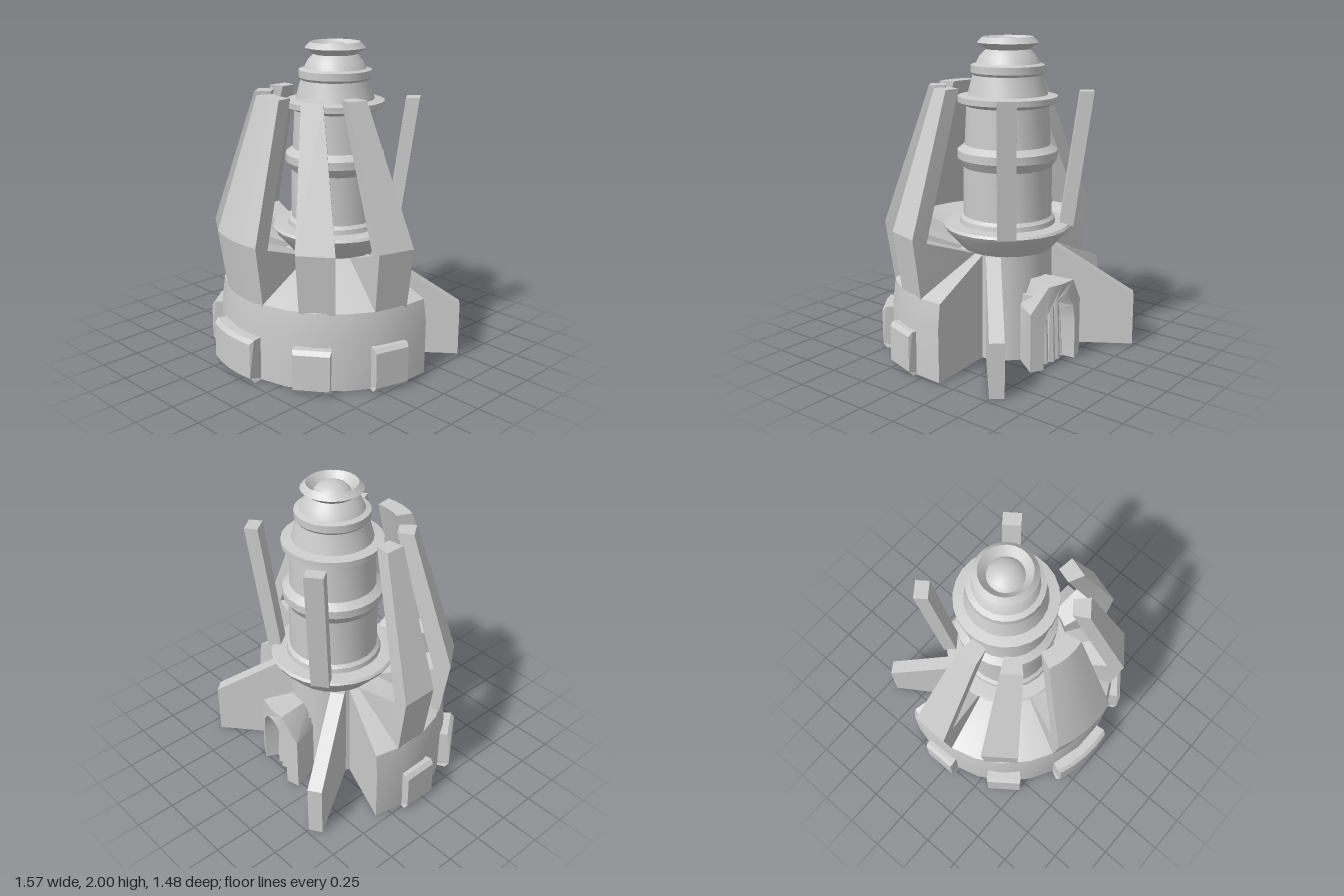
import * as THREE from 'three';
import { toCreasedNormals } from 'three/addons/utils/BufferGeometryUtils.js';

const material = new THREE.MeshStandardMaterial({ color: 0xcccccc });

function addMesh(parent, name, geometry, crease = 0.5) {
  const mesh = new THREE.Mesh(toCreasedNormals(geometry, crease), material);
  mesh.name = name;
  parent.add(mesh);
  return mesh;
}

const toShape = (points) => new THREE.Shape(points.map(([x, y]) => new THREE.Vector2(x, y)));

// Apply a rule to every vertex position
function moveVertices(geometry, rule) {
  const p = geometry.attributes.position;
  for (let i = 0; i < p.count; i++) p.setXYZ(i, ...rule(p.getX(i), p.getY(i), p.getZ(i)));
  geometry.computeVertexNormals();
  return geometry;
}

// Sweep a (radius, height) profile round the y axis, from angle - half to angle + half
function sector(profile, angle, half, steps, forward = () => 0, narrow = () => 1) {
  const geometry = new THREE.ExtrudeGeometry(toShape(profile), { depth: 1, steps, bevelEnabled: false });
  return moveVertices(geometry, (r, y, u) => {
    const a = angle + (1 - 2 * u) * half * narrow(r);
    return [r * Math.sin(a), y, r * Math.cos(a) + forward(y)];
  });
}

// Turned central tower, from the foot to the cup and dome on top
const TOWER = [
  [0, 0], [0.285, 0], [0.285, 0.68], [0.385, 0.79], [0.402, 0.82], [0.39, 0.835], [0.305, 0.84],
  [0.3, 0.87], [0.28, 0.89], [0.28, 1.2], [0.315, 1.255], [0.315, 1.305], [0.27, 1.34], [0.258, 1.58],
  [0.313, 1.605], [0.313, 1.64], [0.25, 1.65], [0.218, 1.77], [0.23, 1.785], [0.23, 1.83], [0.197, 1.84],
  [0.175, 1.885], [0.135, 1.925], [0.19, 1.965], [0.157, 2], [0.11, 1.95], [0.085, 1.978], [0.045, 1.995], [0, 2],
];
const BASE = [[0.2, 0], [0.74, 0], [0.742, 0.34], [0.722, 0.49], [0.28, 0.68], [0.2, 0.68]];
const RIB = [[0.26, 0.45], [0.722, 0.48], [0.775, 0.86], [0.43, 1.7], [0.325, 1.7], [0.67, 0.82], [0.26, 0.67]];
const BLOCK = [[0.68, 0], [0.77, 0], [0.793, 0.03], [0.793, 0.255], [0.77, 0.28], [0.68, 0.28]];

export function createModel() {
  const root = new THREE.Group();
  const building = new THREE.Group();
  building.name = 'building';
  building.rotation.y = -0.143;
  building.position.z = -0.075;
  root.add(building);

  addMesh(building, 'tower', new THREE.LatheGeometry(TOWER.map(([r, y]) => new THREE.Vector2(r, y)), 24));
  addMesh(building, 'base', sector(BASE, 0, 1.79, 14));

  // Five leaning ribs, each with a raised block below it
  for (const degrees of [-81.5, -45, 0, 45, 81.5]) {
    const angle = THREE.MathUtils.degToRad(degrees);
    const half = degrees === 0 ? 0.288 : 0.153;
    const steps = degrees === 0 ? 4 : 1;
    const lean = (y) => 0.09 * Math.max(0, (y - 0.84) / 0.86);
    addMesh(building, 'rib', sector(RIB, angle, half, steps, lean), 0.35);
    addMesh(building, 'baseBlock', sector(BLOCK, angle, half, steps, () => 0.03, (r) => (r > 0.78 ? 0.92 : 1)), 0.3);
  }

  for (const side of [-1, 1]) {
    const name = side > 0 ? 'left' : 'right';

    // Sloping buttress fin at the back
    const start = [0.262, -0.145], end = [0.618, -0.549];
    const length = Math.hypot(end[0] - start[0], end[1] - start[1]);
    const finShape = toShape([[-0.06, 0], [length, 0], [length, 0.34], [0, 0.68], [-0.06, 0.68]]);
    const finGeometry = new THREE.ExtrudeGeometry(finShape, { depth: 0.09, bevelEnabled: false });
    finGeometry.translate(0, 0, -0.045);
    const fin = addMesh(building, name + 'Fin', finGeometry);
    fin.position.set(side * start[0], 0, start[1]);
    fin.rotation.y = Math.atan2(start[1] - end[1], side * (end[0] - start[0]));

    // Post standing on the flange and leaning outwards
    const post = new THREE.BoxGeometry(0.115, 0.85, 0.085);
    moveVertices(post, (x, y, z) => [x, y + 1.245, z + 0.375 + 0.115 * (y / 0.85 + 0.5)]);
    addMesh(building, name + 'Post', post).rotation.y = side * 2.356;
  }

  // Arched doorway, curved to follow the tower
  const doorway = new THREE.Group();
  doorway.name = 'doorway';
  doorway.rotation.y = Math.PI;
  building.add(doorway);
  const archOutline = [
    [-0.23, 0], [-0.14, 0], [-0.14, 0.25], [-0.115, 0.36], [-0.06, 0.43], [0, 0.45], [0.06, 0.43], [0.115, 0.36],
    [0.14, 0.25], [0.14, 0], [0.23, 0], [0.23, 0.37], [0.11, 0.53], [0, 0.53], [-0.11, 0.53], [-0.23, 0.37],
  ];
  const arch = new THREE.ExtrudeGeometry(toShape(archOutline), { depth: 0.255, bevelEnabled: false });
  moveVertices(arch, (x, y, z) => {
    const a = x / 0.48, r = 0.23 + z;
    return [r * Math.sin(a), y, r * Math.cos(a)];
  });
  addMesh(doorway, 'doorFrame', arch);

  // Hanging folds inside the doorway
  const panel = new THREE.BoxGeometry(0.24, 0.44, 0.12);
  panel.translate(0, 0.22, 0.31);
  addMesh(doorway, 'doorPanel', panel);
  for (let i = -2; i <= 2; i++) {
    const height = 0.43 - 0.025 * i * i;
    const fold = new THREE.CylinderGeometry(0.018, 0.036, height, 6);
    fold.translate(i * 0.052, height / 2, 0.385 - 0.008 * i * i);
    addMesh(doorway, 'doorFold', fold);
  }
  return root;
}
